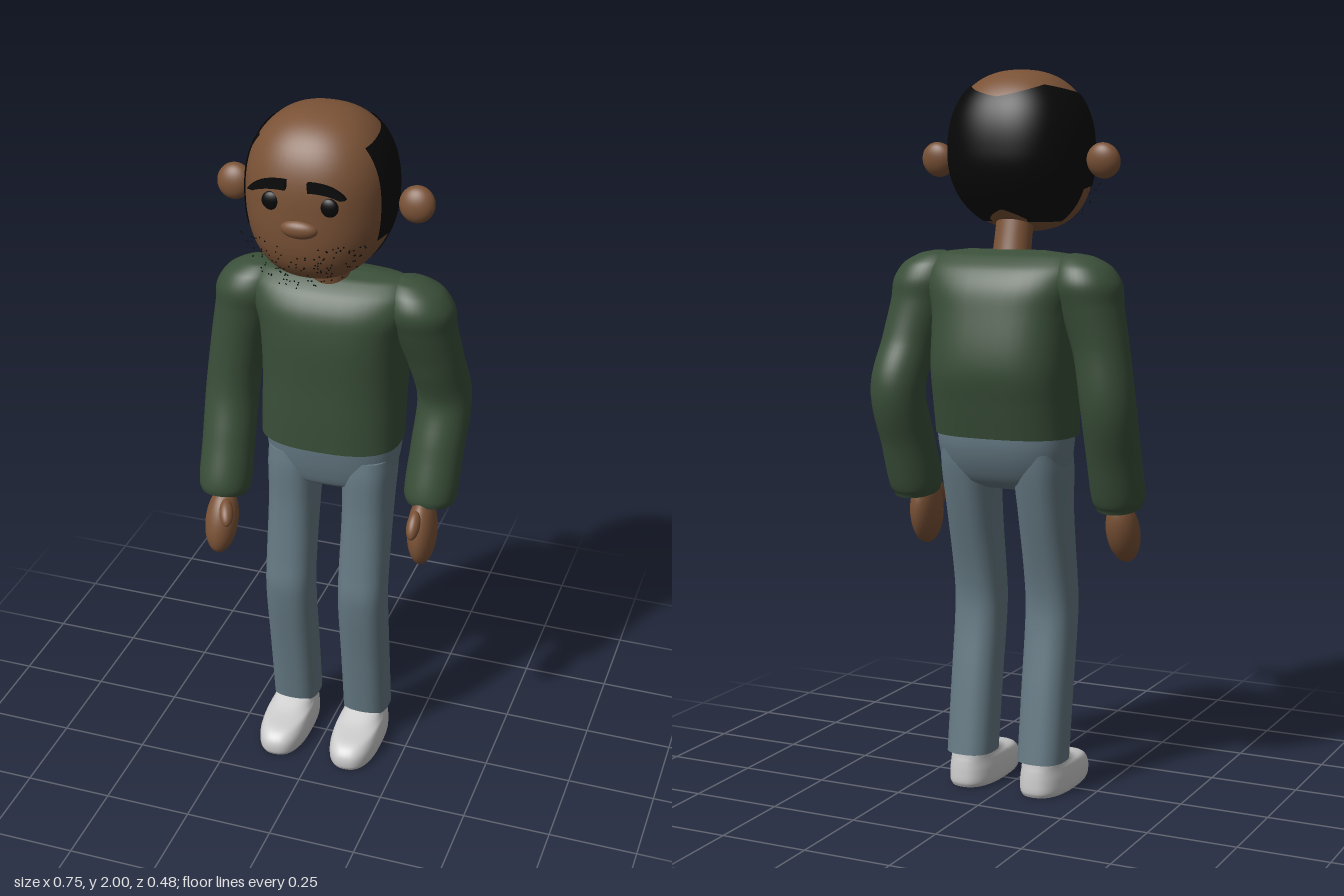
import * as THREE from 'three';
import { mergeGeometries } from 'three/addons/utils/BufferGeometryUtils.js';

const mat = (color) => new THREE.MeshStandardMaterial({ color, side: THREE.DoubleSide });
const skin = mat(0x7a5236), green = mat(0x3a4f39), denim = mat(0x657983);
const black = mat(0x080808), white = mat(0xdddddd);

// Head volume: a rounded ellipsoid whose chin is pushed forward
const HEAD = { y: 1.78, z: 0.03, rx: 0.195, ry: 0.22, rz: 0.19, n: 2.3 };
const chinShift = (t) => (t < 0 ? 0.05 * t * t : 0);

// Smooth skin through horizontal sections [x, y, z, rx, rz], bottom to top.
// tiltEnd leans the lowest rings square to the path.
function loft(sections, { n = 2.2, rings = 40, seg = 40, tiltEnd = false } = {}) {
  const centre = new THREE.CatmullRomCurve3(sections.map((s) => new THREE.Vector3(s[0], s[1], s[2])), false, 'centripetal');
  const radius = new THREE.CatmullRomCurve3(sections.map((s) => new THREE.Vector3(s[3], s[1], s[4])), false, 'centripetal');
  const pos = [], idx = [];
  const ring = (i) => {
    const t = i / rings, c = centre.getPoint(t), r = radius.getPoint(t), d = centre.getTangent(t);
    const w = tiltEnd ? (1 - t) ** 2 : 0;
    for (let j = 0; j <= seg; j++) {
      const a = (j / seg) * Math.PI * 2, cs = Math.cos(a), sn = Math.sin(a);
      const dx = r.x * Math.sign(cs) * Math.abs(cs) ** (2 / n);
      const dz = r.z * Math.sign(sn) * Math.abs(sn) ** (2 / n);
      pos.push(c.x + dx, c.y - (w * (dx * d.x + dz * d.z)) / d.y, c.z + dz);
    }
    return c;
  };
  const row = seg + 1;
  for (let i = 0; i <= rings; i++) ring(i);
  for (let i = 0; i < rings; i++) for (let j = 0; j < seg; j++) {
    const a = i * row + j, b = a + row;
    idx.push(a, b, a + 1, b, b + 1, a + 1);
  }
  // End caps with their own vertices so the hems stay sharp
  for (const end of [0, rings]) {
    const start = pos.length / 3, c = ring(end), mid = start + row;
    pos.push(c.x, c.y, c.z);
    for (let j = 0; j < seg; j++) {
      if (end) idx.push(start + j + 1, start + j, mid);
      else idx.push(start + j, start + j + 1, mid);
    }
  }
  return surface(pos, idx);
}

function surface(pos, idx) {
  const g = new THREE.BufferGeometry();
  g.setAttribute('position', new THREE.Float32BufferAttribute(pos, 3));
  g.setIndex(idx);
  g.computeVertexNormals();
  return g;
}

function headGeometry() {
  const g = new THREE.SphereGeometry(1, 56, 40), p = g.attributes.position, n = HEAD.n;
  for (let i = 0; i < p.count; i++) {
    const v = new THREE.Vector3().fromBufferAttribute(p, i);
    v.divideScalar((Math.abs(v.x) ** n + Math.abs(v.y) ** n + Math.abs(v.z) ** n) ** (1 / n));
    p.setXYZ(i, v.x * HEAD.rx, HEAD.y + v.y * HEAD.ry, HEAD.z + v.z * HEAD.rz + chinShift(v.y));
  }
  g.computeVertexNormals();
  return g;
}

// Hair: a patch just off the head, wrapping the back between two sideburn edges
function hairGeometry() {
  const { n, rx, ry, rz } = HEAD, U = 80, V = 50, k = 1.018, pos = [], idx = [];
  const lerp = THREE.MathUtils.lerp;
  for (let i = 0; i <= U; i++) {
    const u = (i / U) * 2 - 1, m = Math.abs(u);
    const top = m < 0.4 ? lerp(1.925, 1.957, m / 0.4) : lerp(1.957, 1.93, (m - 0.4) / 0.6);
    const bottom = m < 0.3 ? lerp(1.625, 1.595, m / 0.3) : 1.59;
    for (let j = 0; j <= V; j++) {
      const y = lerp(bottom, top, j / V), t = (y - HEAD.y) / (ry * k);
      const s = k * (1 - Math.abs(t) ** n) ** (1 / n), shift = chinShift(t);
      const edge = y > 1.685 ? 0.115 : 0.035;
      const q = THREE.MathUtils.clamp((edge - HEAD.z - shift) / (rz * s), -0.98, 0.98);
      const limit = Math.acos(-Math.sign(q) * Math.abs(q) ** (n / 2));
      const a = u * limit, sn = Math.sin(a), cs = Math.cos(a);
      pos.push(rx * s * Math.sign(sn) * Math.abs(sn) ** (2 / n), y,
        HEAD.z + shift - rz * s * Math.sign(cs) * Math.abs(cs) ** (2 / n));
    }
  }
  for (let i = 0; i < U; i++) for (let j = 0; j < V; j++) {
    const a = i * (V + 1) + j, b = a + V + 1;
    idx.push(a, a + 1, b, b, a + 1, b + 1);
  }
  return surface(pos, idx);
}

// Stubble: tiny discs scattered on a curved sheet before the jaw
function stubbleGeometry() {
  let seed = 7;
  const rand = () => (seed = (seed * 16807) % 2147483647) / 2147483647;
  const dots = [];
  while (dots.length < 120) {
    const x = (rand() * 2 - 1) * 0.17, y = 1.575 + rand() * 0.125;
    if (y < 1.575 + 3 * x * x || (Math.abs(x) < 0.05 && y > 1.67)) continue;
    const dot = new THREE.CircleGeometry(0.0025, 6);
    dot.rotateY(Math.atan(3.6 * x));
    dots.push(dot.translate(x, y, 0.236 - 1.8 * x * x));
  }
  return mergeGeometries(dots);
}

export function createModel() {
  const model = new THREE.Group();
  const add = (name, geometry, material, parent = model) => {
    const mesh = new THREE.Mesh(geometry, material);
    mesh.name = name;
    parent.add(mesh);
    return mesh;
  };
  const ball = (name, material, [x, y, z], [rx, ry, rz], [ax, az] = [0, 0], parent = model) => {
    const m = add(name, new THREE.SphereGeometry(1, 28, 20), material, parent);
    m.position.set(x, y, z);
    m.scale.set(rx, ry, rz);
    m.rotation.set(ax, 0, az);
  };

  // Head and face
  const head = new THREE.Group();
  head.name = 'head';
  model.add(head);
  add('skull', headGeometry(), skin, head);
  add('hair', hairGeometry(), black, head);
  add('stubble', stubbleGeometry(), black, head);
  ball('nose', skin, [0, 1.733, 0.215], [0.05, 0.025, 0.022], [0, 0], head);
  for (const s of [1, -1]) {
    const side = s > 0 ? 'left' : 'right';
    ball(side + 'Ear', skin, [s * 0.25, 1.756, 0.015], [0.048, 0.049, 0.031], [-0.2, 0], head);
    ball(side + 'Eye', black, [s * 0.077, 1.798, 0.207], [0.025, 0.025, 0.012], [0, 0], head);
    const brow = new THREE.Shape();
    brow.moveTo(s * 0.028, 1.868);
    brow.quadraticCurveTo(s * 0.1, 1.872, s * 0.13, 1.836);
    brow.lineTo(s * 0.115, 1.832);
    brow.quadraticCurveTo(s * 0.08, 1.846, s * 0.03, 1.842);
    const g = new THREE.ExtrudeGeometry(brow, { depth: 0.014, bevelEnabled: false });
    add(side + 'Eyebrow', g.translate(0, 0, 0.224), black, head);
  }

  // Neck, leaning forward
  add('neck', loft([[0, 1.46, -0.045, 0.056, 0.05], [0, 1.54, -0.025, 0.053, 0.047], [0, 1.66, 0.005, 0.053, 0.047]],
    { n: 2, rings: 10 }), skin);

  // Sweater body
  add('sweaterBody', loft([
    [0, 1.012, -0.06, 0.2, 0.138], [0, 1.1, -0.07, 0.2, 0.15], [0, 1.2, -0.08, 0.2, 0.16],
    [0, 1.35, -0.068, 0.205, 0.15], [0, 1.42, -0.065, 0.225, 0.135], [0, 1.47, -0.065, 0.23, 0.105],
    [0, 1.505, -0.065, 0.2, 0.06], [0, 1.516, -0.065, 0.12, 0.02]], { n: 2.6 }), green);

  // Sleeves: same shoulders, each with its own elbow and wrist
  const sleeve = (name, s, elbow, wrist) => {
    const upper = [[0.278, 1.26, 0.5, 0.078], [0.252, 1.37, 0.12, 0.089], [0.238, 1.43, 0, 0.097],
      [0.226, 1.475, 0, 0.079], [0.212, 1.502, 0, 0.045], [0.205, 1.51, 0, 0.015]];
    const [ex, ey, ez] = elbow, [wx, wy, wz] = wrist;
    add(name, loft([
      [wx, wy, wz, 0.064, 0.064],
      [wx, wy + 0.022, wz - 0.005, 0.073, 0.072],
      [(wx + ex) / 2, (wy + ey) / 2, (wz + ez) / 2, 0.075, 0.074],
      [ex, ey, ez, 0.076, 0.078],
      ...upper.map(([x, y, f, r]) => [s * x, y, THREE.MathUtils.lerp(-0.068, ez, f), r, r]),
    ], { n: 2, rings: 56, tiltEnd: true }), green);
  };
  sleeve('leftSleeve', 1, [0.296, 1.13, -0.147], [0.285, 0.83, -0.06]);
  sleeve('rightSleeve', -1, [-0.298, 1.1, -0.055], [-0.295, 0.812, 0.036]);

  // Mitten-like hands with thumbs
  ball('leftHand', skin, [0.28, 0.765, -0.012], [0.041, 0.1, 0.068], [-0.25, 0.05]);
  ball('leftThumb', skin, [0.27, 0.81, 0.046], [0.019, 0.042, 0.022], [-0.7, 0]);
  ball('rightHand', skin, [-0.292, 0.735, 0.072], [0.047, 0.097, 0.05], [-0.4, 0]);
  ball('rightThumb', skin, [-0.262, 0.785, 0.112], [0.02, 0.042, 0.02], [-0.9, 0.3]);

  // Trousers: hips plus two slightly bent legs, and shoes
  add('hips', loft([[0, 0.862, -0.055, 0.1, 0.05], [0, 0.885, -0.06, 0.16, 0.088], [0, 0.93, -0.066, 0.183, 0.108],
    [0, 0.98, -0.07, 0.192, 0.12], [0, 1.04, -0.07, 0.196, 0.125]], { n: 2.5 }), denim);
  for (const s of [1, -1]) {
    const side = s > 0 ? 'left' : 'right', x = s * 0.11;
    add(side + 'Leg', loft([[x, 0.095, -0.06, 0.068, 0.073], [x, 0.3, -0.032, 0.069, 0.072], [x, 0.47, -0.007, 0.07, 0.072],
      [x, 0.54, -0.003, 0.07, 0.073], [x, 0.62, -0.013, 0.07, 0.074], [x, 0.8, -0.045, 0.07, 0.088],
      [x, 0.92, -0.06, 0.074, 0.1], [x, 0.97, -0.066, 0.072, 0.1]], { n: 2.5 }), denim);
    add(side + 'Shoe', loft([[x, 0, 0.017, 0.067, 0.146], [x, 0.012, 0.017, 0.071, 0.152], [x, 0.045, 0.016, 0.071, 0.15],
      [x, 0.07, 0.003, 0.066, 0.134], [x, 0.085, -0.03, 0.06, 0.098], [x, 0.105, -0.055, 0.055, 0.07]],
      { n: 2.5, rings: 24 }), white);
  }
  return model;
}
